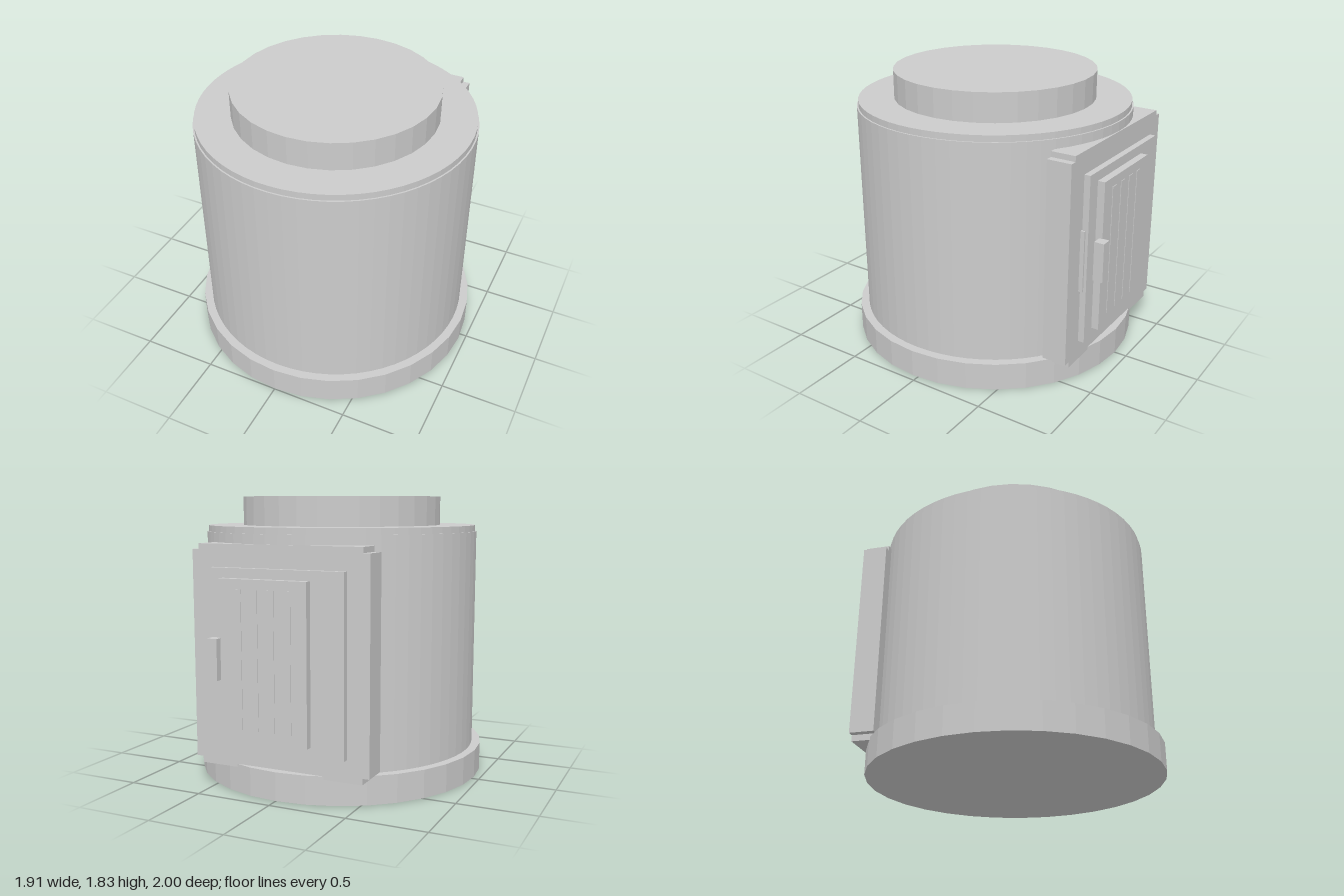
import * as THREE from 'three';

const material = new THREE.MeshStandardMaterial({ color: 0xcccccc, flatShading: true });

export function createModel() {
  const model = new THREE.Group();
  model.name = 'furnace';

  const add = (parent, name, geometry) => {
    const mesh = new THREE.Mesh(geometry, material);
    mesh.name = name;
    parent.add(mesh);
    return mesh;
  };

  // Upright drum centred slightly forward of the origin
  const drum = (name, radius, y0, y1, sides) =>
    add(model, name, new THREE.CylinderGeometry(radius, radius, y1 - y0, sides))
      .position.set(0, (y0 + y1) / 2, 0.04);

  // Box given by its limits on each axis
  const block = (parent, name, [x0, x1], [y0, y1], [z0, z1]) =>
    add(parent, name, new THREE.BoxGeometry(x1 - x0, y1 - y0, z1 - z0))
      .position.set((x0 + x1) / 2, (y0 + y1) / 2, (z0 + z1) / 2);

  // Stacked cylinders
  drum('base', 0.957, 0, 0.18, 32);
  drum('body', 0.9, 0.18, 1.6, 64);
  drum('rim', 0.89, 1.6, 1.64, 64);
  drum('topCap', 0.66, 1.64, 1.825, 32);

  // Door surround with notched corners
  const w = 0.592, n = 0.547, top = 1.54, bottom = 0.16, topN = 1.505, bottomN = 0.2;
  const outline = new THREE.Shape([
    [-n, bottom], [n, bottom], [n, bottomN], [w, bottomN], [w, topN], [n, topN],
    [n, top], [-n, top], [-n, topN], [-w, topN], [-w, bottomN], [-n, bottomN],
  ].map(([x, y]) => new THREE.Vector2(x, y)));
  add(model, 'doorFrame', new THREE.ExtrudeGeometry(outline, { depth: 0.16, bevelEnabled: false }))
    .position.z = -0.865;

  // Door with raised panel, latch and handle
  const door = new THREE.Group();
  door.name = 'door';
  model.add(door);
  block(door, 'doorPlate', [-0.45, 0.445], [0.3, 1.4], [-0.91, -0.87]);
  block(door, 'latchStrip', [0.36, 0.457], [0.65, 1.05], [-0.892, -0.86]);
  block(door, 'doorPanel', [-0.235, 0.35], [0.36, 1.34], [-0.957, -0.91]);
  block(door, 'handle', [0.345, 0.412], [0.725, 0.98], [-1, -0.935]);

  // Thin vertical slats on the panel
  for (let i = 0; i < 4; i++) {
    const x = 0.0575 + (i - 1.5) * 0.11;
    block(door, 'slat', [x - 0.025, x + 0.025], [0.43, 1.28], [-0.961, -0.95]);
  }

  return model;
}
